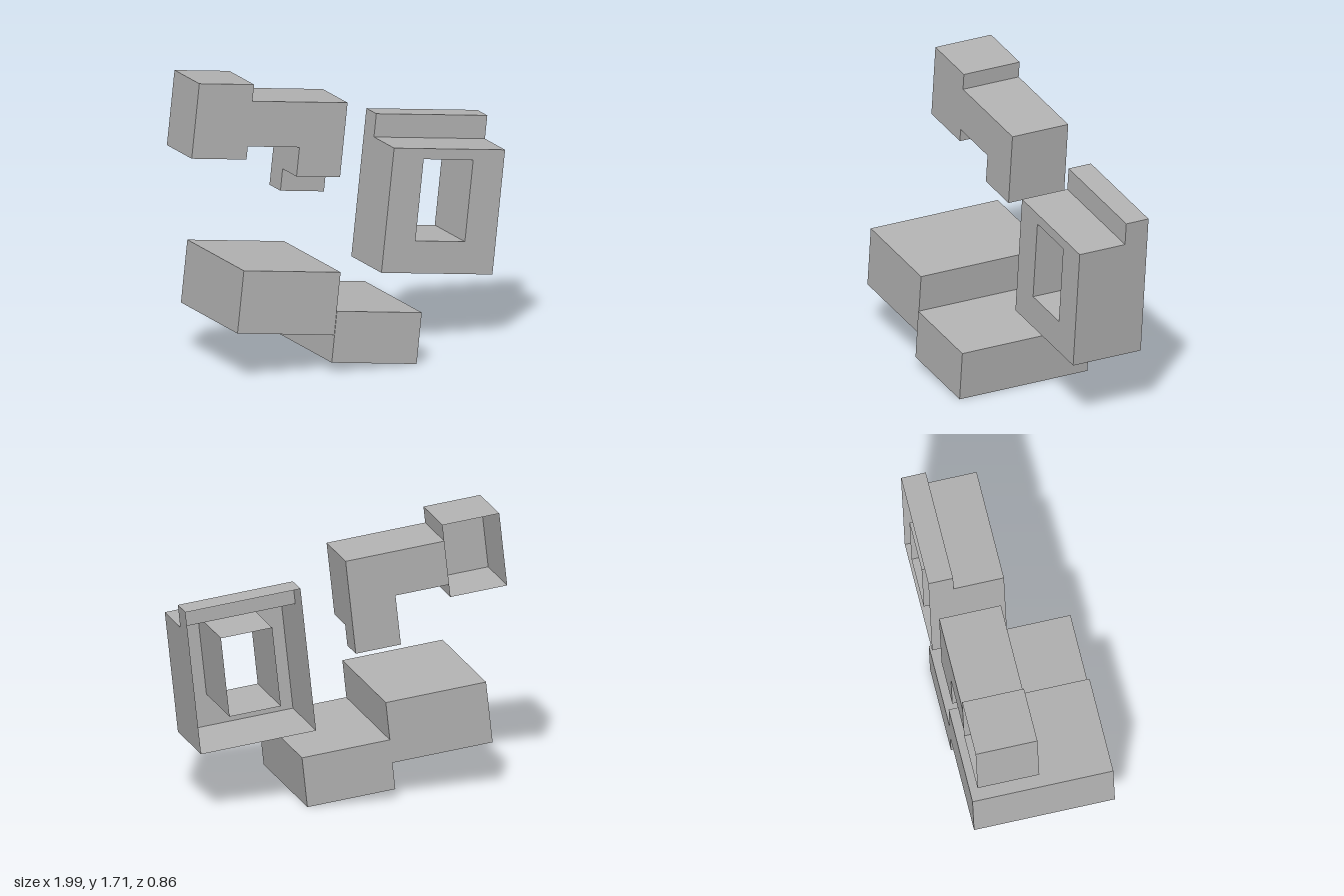
import * as THREE from 'three';

export function createModel() {
  const grey = new THREE.MeshStandardMaterial({ color: 0xb3b3b3, side: THREE.DoubleSide });
  grey.name = 'plain grey';
  const model = new THREE.Group();
  model.name = 'tiltedBlocks';
  model.rotation.z = -0.1083; // all blocks share one slight tilt

  const BACK = -0.43;
  const add = (parent, name, geometry) => {
    const mesh = new THREE.Mesh(geometry, grey);
    mesh.name = name;
    parent.add(mesh);
    return mesh;
  };
  const section = (name) => {
    const group = new THREE.Group();
    group.name = name;
    model.add(group);
    return group;
  };
  // Box from its limits; sides counts the faces kept (5: no back, 4: no front or back)
  const box = (x0, x1, y0, y1, z0, z1, sides = 6) => {
    const g = new THREE.BoxGeometry(x1 - x0, y1 - y0, z1 - z0);
    g.translate((x0 + x1) / 2, (y0 + y1) / 2, (z0 + z1) / 2);
    if (sides < 6) {
      g.setIndex(Array.from(g.index.array).slice(0, sides * 6));
      g.clearGroups();
    }
    return g;
  };
  const outline = (points) => new THREE.Shape(points.map(([x, y]) => new THREE.Vector2(x, y)));

  // Lower pair of solid blocks
  const base = section('steppedBase');
  add(base, 'upperBlock', box(-0.936, -0.311, 0.197, 0.577, BACK, 0.425));
  add(base, 'lowerBlock', box(-0.311, 0.237, 0.031, 0.342, BACK, 0.43));

  // Angled arm with a set-back foot and an open-backed head
  const arm = section('arm');
  const front = -0.055;
  const elbow = new THREE.ExtrudeGeometry(outline([
    [-0.776, 1.226], [-0.442, 1.226], [-0.442, 1.049],
    [-0.161, 1.049], [-0.161, 1.5], [-0.776, 1.5],
  ]), { depth: front - BACK, bevelEnabled: false });
  elbow.translate(0, 0, BACK);
  add(arm, 'elbow', elbow);
  add(arm, 'foot', box(-0.442, -0.161, 0.917, 1.049, BACK, -0.265));
  add(arm, 'openHead', box(-1.13, -0.776, 1.147, 1.601, BACK, front, 5));

  // Hollow window frame, open at the back
  const frame = section('windowFrame');
  const [x0, x1, y0, yStep, yTop] = [0.133, 0.85, 0.492, 1.247, 1.388];
  const [zFront, zRidge] = [0.025, -0.28];
  const [hx0, hx1, hy0, hy1] = [0.331, 0.651, 0.688, 1.183];

  const face = outline([[x0, y0], [x1, y0], [x1, yStep], [x0, yStep]]);
  face.holes.push(outline([[hx0, hy0], [hx0, hy1], [hx1, hy1], [hx1, hy0]]));
  add(frame, 'frontPlate', new THREE.ShapeGeometry(face)).position.z = zFront;
  add(frame, 'windowTunnel', box(hx0, hx1, hy0, hy1, BACK, zFront, 4));

  // Stepped side plates, drawn with -z to the right
  const side = outline([
    [-zFront, y0], [-BACK, y0], [-BACK, yTop], [-zRidge, yTop], [-zRidge, yStep], [-zFront, yStep],
  ]);
  const rightSide = new THREE.ShapeGeometry(side).rotateY(Math.PI / 2);
  add(frame, 'leftSide', rightSide).position.x = x1;
  const mirrored = outline(side.getPoints().map((p) => [-p.x, p.y]));
  add(frame, 'rightSide', new THREE.ShapeGeometry(mirrored).rotateY(-Math.PI / 2)).position.x = x0;

  // Flat panels across the width: floor, step, ridge front and ridge top
  const width = x1 - x0, middle = (x0 + x1) / 2;
  const level = (name, y, zBack, zNear, turn) => {
    const g = new THREE.PlaneGeometry(width, zNear - zBack).rotateX(turn);
    add(frame, name, g).position.set(middle, y, (zBack + zNear) / 2);
  };
  level('floor', y0, BACK, zFront, Math.PI / 2);
  level('step', yStep, zRidge, zFront, -Math.PI / 2);
  level('ridgeTop', yTop, BACK, zRidge, -Math.PI / 2);
  add(frame, 'ridgeFront', new THREE.PlaneGeometry(width, yTop - yStep))
    .position.set(middle, (yStep + yTop) / 2, zRidge);

  return model;
}
